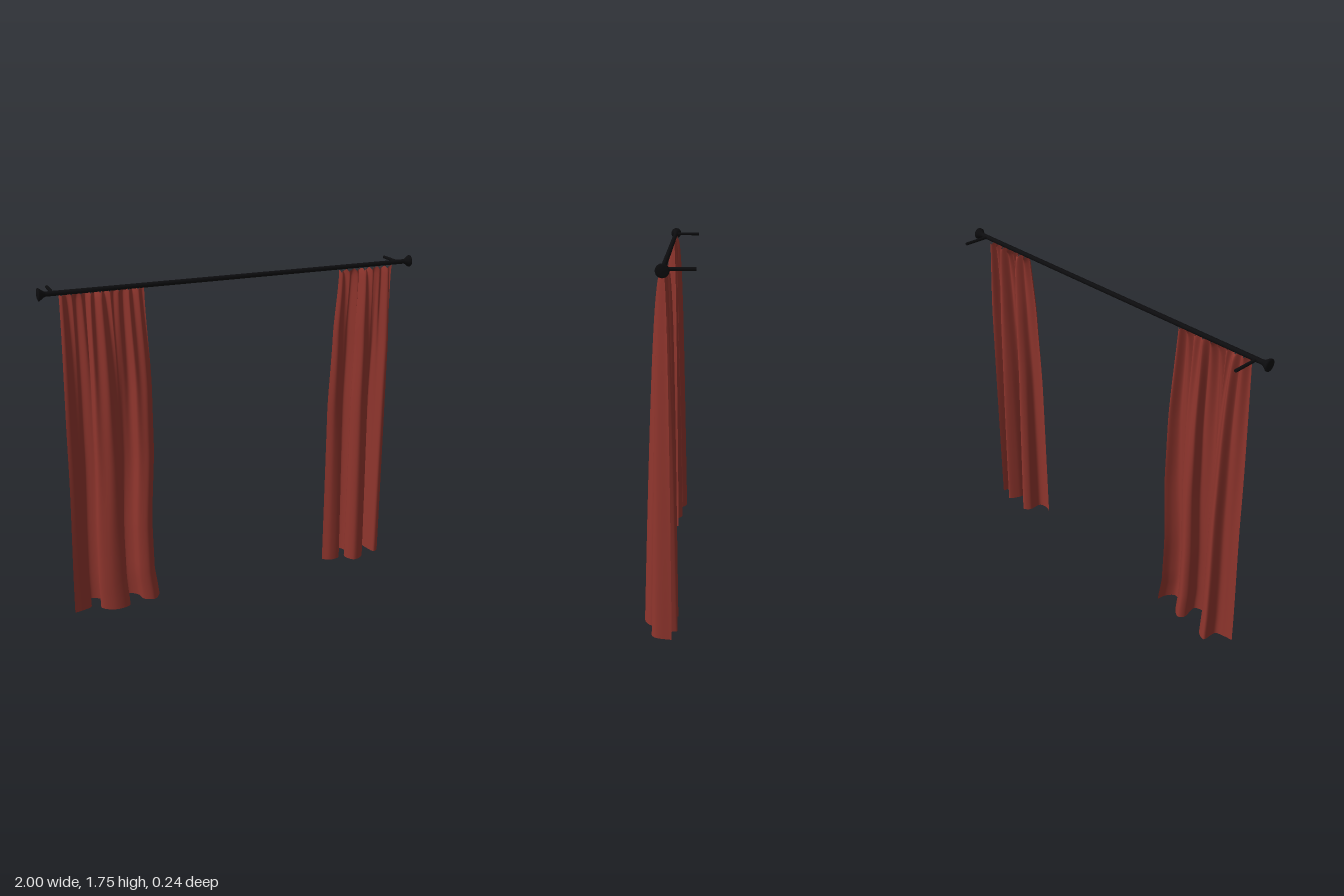
import * as THREE from 'three';

const ROD_Y = 1.72, ROD_Z = 0.015;

// Smooth 1D curve through [position, value] pairs
function edgeCurve(points) {
  return (t) => {
    let i = 0;
    while (i < points.length - 2 && t > points[i + 1][0]) i++;
    const [a, va] = points[i], [b, vb] = points[i + 1];
    const s = THREE.MathUtils.smoothstep(t, a, b);
    return va + (vb - va) * (0.5 * s + 0.5 * (t - a) / (b - a));
  };
}

// Cloth sheet: fine pleats at the heading open into a few deep folds at the hem
function drapeGeometry({ top, left, right, hem, pleats }) {
  const cols = 160, rows = 40;
  const curve = new THREE.CatmullRomCurve3(hem.map(([x, z]) => new THREE.Vector3(x, 0, z)), false, 'centripetal');
  const line = curve.getSpacedPoints(cols);
  const x0 = hem[0][0], x1 = hem[hem.length - 1][0];
  const pos = [], index = [];
  for (let r = 0; r <= rows; r++) {
    const d = Math.pow(r / rows, 1.3);
    const open = Math.pow(d, 0.45);
    const a = left(d), b = right(d);
    for (let c = 0; c <= cols; c++) {
      const u = c / cols;
      const hemU = (line[c].x - x0) / (x1 - x0);
      const across = THREE.MathUtils.lerp(u, hemU, open);
      const wave = Math.sin(u * pleats * Math.PI * 2);
      const z = ROD_Z + (line[c].z - ROD_Z) * open + 0.013 * wave * Math.pow(1 - d, 2);
      const scallop = 0.006 * Math.cos(u * pleats * Math.PI * 4) * Math.pow(1 - d, 20);
      pos.push(a + (b - a) * across, top * (1 - d) + scallop, z);
      if (r < rows && c < cols) {
        const i = r * (cols + 1) + c, j = i + cols + 1;
        index.push(i, j, i + 1, i + 1, j, j + 1);
      }
    }
  }
  const g = new THREE.BufferGeometry();
  g.setAttribute('position', new THREE.Float32BufferAttribute(pos, 3));
  g.setIndex(index);
  g.computeVertexNormals();
  return g;
}

export function createModel() {
  const model = new THREE.Group();
  model.name = 'curtains';
  const cloth = new THREE.MeshStandardMaterial({ color: 0x8f352d, side: THREE.DoubleSide });
  cloth.name = 'red cloth';
  const metal = new THREE.MeshStandardMaterial({ color: 0x0c0c0e });
  metal.name = 'black metal';

  const add = (name, geometry, material) => {
    const mesh = new THREE.Mesh(geometry, material);
    mesh.name = name;
    model.add(mesh);
    return mesh;
  };

  // Rod
  const rod = add('rod', new THREE.CylinderGeometry(0.012, 0.012, 1.94, 20), metal);
  rod.rotation.z = Math.PI / 2;
  rod.position.set(0, ROD_Y, ROD_Z);

  // Flared finials and wall brackets at both ends
  const finialProfile = [[0.011, 0], [0.014, 0.01], [0.022, 0.022], [0.03, 0.033], [0.03, 0.039], [0.022, 0.042], [0, 0.043]]
    .map(([r, y]) => new THREE.Vector2(r, y));
  for (const side of [-1, 1]) {
    const label = side > 0 ? 'left' : 'right';
    const finial = add(label + 'Finial', new THREE.LatheGeometry(finialProfile, 24), metal);
    finial.rotation.z = -side * Math.PI / 2;
    finial.position.set(side * 0.957, ROD_Y, ROD_Z);

    const bracket = add(label + 'Bracket', new THREE.CylinderGeometry(0.008, 0.008, 0.14, 12), metal);
    bracket.rotation.x = Math.PI / 2;
    bracket.position.set(side * 0.925, ROD_Y, -0.055);
  }

  // Wider curtain on the model's right
  add('rightCurtain', drapeGeometry({
    top: 1.712,
    left: edgeCurve([[0, -0.9], [0.5, -0.918], [1, -0.943]]),
    right: edgeCurve([[0, -0.485], [0.3, -0.46], [0.5, -0.46], [0.75, -0.483], [0.9, -0.481], [1, -0.46]]),
    hem: [[-0.943, 0.045], [-0.89, 0.035], [-0.85, 0.02], [-0.835, -0.06], [-0.78, -0.03], [-0.8, 0.05], [-0.73, 0.095],
      [-0.65, 0.08], [-0.655, -0.01], [-0.63, -0.035], [-0.58, 0], [-0.565, 0.05], [-0.51, 0.075], [-0.475, 0.04], [-0.46, -0.015]],
    pleats: 9,
  }), cloth);

  // Narrower curtain on the model's left
  add('leftCurtain', drapeGeometry({
    top: 1.7,
    left: edgeCurve([[0, 0.572], [0.2, 0.545], [0.45, 0.527], [1, 0.527]]),
    right: edgeCurve([[0, 0.89], [0.25, 0.903], [1, 0.905]]),
    hem: [[0.527, 0.04], [0.57, 0.065], [0.63, 0.055], [0.64, -0.02], [0.675, -0.045], [0.7, 0], [0.665, 0.06], [0.7, 0.115],
      [0.765, 0.09], [0.785, 0.01], [0.82, -0.045], [0.835, 0.02], [0.855, 0.075], [0.885, 0.06], [0.905, -0.02]],
    pleats: 7,
  }), cloth);

  return model;
}
